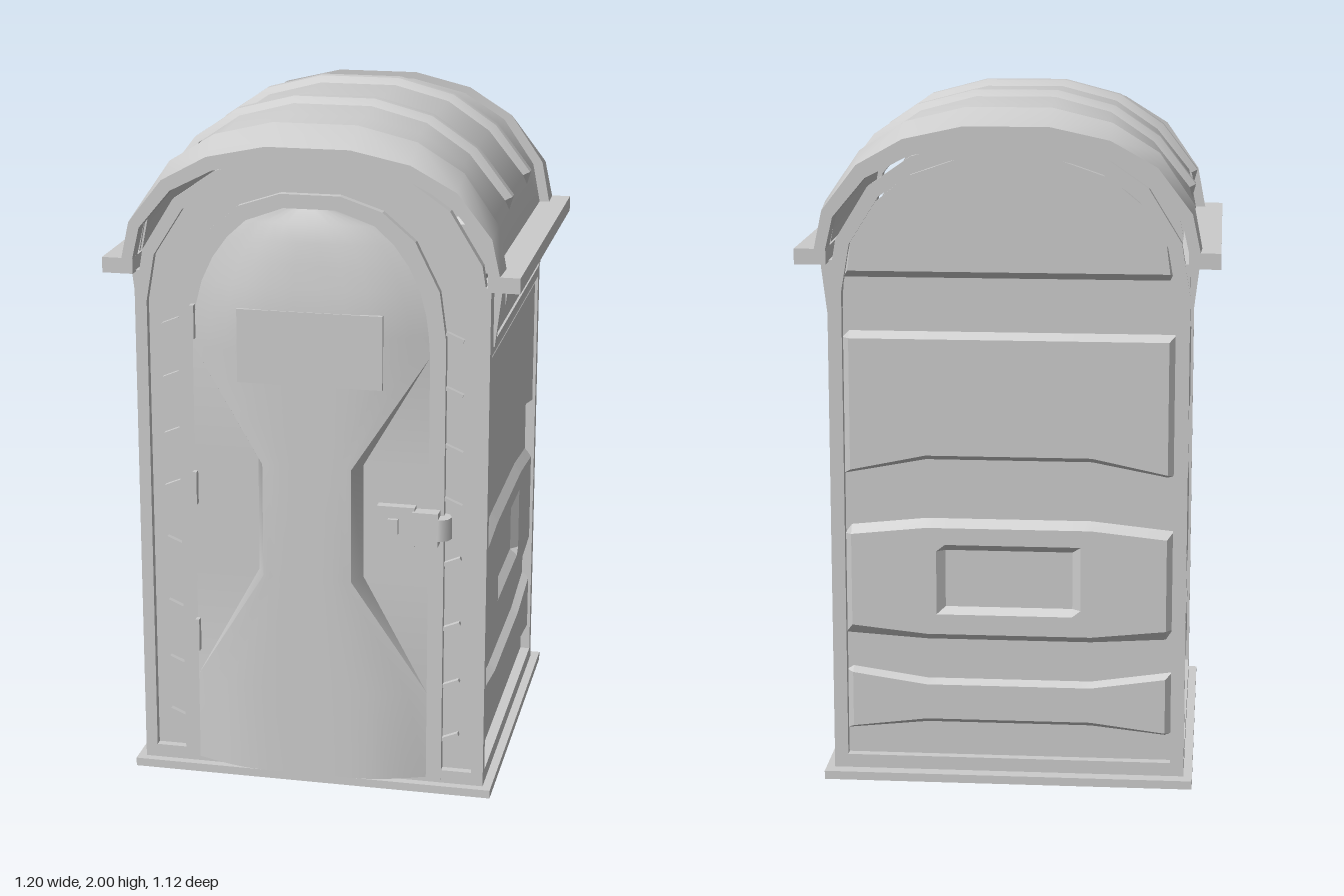
import * as THREE from 'three';
import { toCreasedNormals } from 'three/addons/utils/BufferGeometryUtils.js';

const mat = new THREE.MeshStandardMaterial({ color: 0xcccccc, side: THREE.DoubleSide });

// Half of the unit arch, from spring line to crown
const HALF = [[1, 0], [0.95, 0.35], [0.77, 0.7], [0.53, 0.9], [0.22, 1]];
const ARCH = [...HALF, ...HALF.map(([x, y]) => [-x, y]).reverse()];
const arch = (hw, top, spring) => ARCH.map(([x, y]) => [x * hw, spring + y * (top - spring)]);

// Half width of an arched opening at height y
function archWidth(y, hw, top, spring) {
  const t = (y - spring) / (top - spring);
  if (t <= 0) return hw;
  for (let i = 1; i < HALF.length; i++) {
    const [x0, y0] = HALF[i - 1], [x1, y1] = HALF[i];
    if (t <= y1) return hw * THREE.MathUtils.mapLinear(t, y0, y1, x0, x1);
  }
  return hw * 0.22;
}

const toShape = (pts, C = THREE.Shape) => new C(pts.map(([x, y]) => new THREE.Vector2(x, y)));
const rect = (x0, x1, y0, y1) => [[x0, y0], [x1, y0], [x1, y1], [x0, y1]];
const door = (hw, top, spring, bottom) => [[-hw, bottom], [hw, bottom], ...arch(hw, top, spring)];

function mesh(name, geo, parent) {
  const m = new THREE.Mesh(geo, mat);
  m.name = name;
  parent.add(m);
  return m;
}

function plate(outline, holes, depth) {
  const s = toShape(outline);
  holes.forEach(h => s.holes.push(toShape(h, THREE.Path)));
  return new THREE.ExtrudeGeometry(s, { depth, bevelEnabled: false });
}

function box(name, parent, w, h, d, x, y, z) {
  const m = mesh(name, new THREE.BoxGeometry(w, h, d), parent);
  m.position.set(x, y, z);
  return m;
}

// Surface through rows of points
function loft(rows, crease = 0.5) {
  const n = rows[0].length, idx = [];
  for (let r = 0; r < rows.length - 1; r++)
    for (let c = 0; c < n - 1; c++) {
      const a = r * n + c;
      idx.push(a, a + 1, a + n, a + 1, a + n + 1, a + n);
    }
  const g = new THREE.BufferGeometry();
  g.setAttribute('position', new THREE.Float32BufferAttribute(rows.flat(2), 3));
  g.setIndex(idx);
  return toCreasedNormals(g, crease);
}

// Arched shell through sections [z, halfWidth, top]
const archLoft = sections => loft(sections.map(([z, hw, top]) =>
  arch(hw, top, 1.56).map(([x, y]) => [x, y, z])));

// Wall bands: [y at edge, y at middle, raised]
const BANDS = [[0.065, 0.065, 0], [0.14, 0.165, 0], [0.15, 0.18, 1], [0.32, 0.285, 1], [0.335, 0.3, 0],
  [0.435, 0.42, 0], [0.465, 0.44, 1], [0.5, 0.5, 1], [0.52, 0.52, 1], [0.69, 0.69, 1], [0.71, 0.71, 1],
  [0.735, 0.76, 1], [0.76, 0.785, 0], [0.915, 0.96, 0], [0.925, 0.975, 1], [1.315, 1.315, 1], [1.335, 1.335, 0]];
const GABLE = [[1.49, 1.49, 0], [1.51, 1.51, 1], [1.6, 1.6, 1], [1.7, 1.7, 1], [1.78, 1.78, 1], [1.84, 1.84, 1]];

// Banded panel with a recessed box; place(u, y, d) maps it onto a wall
function bandedPanel(bands, hw, widthAt, place) {
  const half = [0.185, 0.21, 0.24, hw - 0.02, hw];
  const cols = [...half.map(u => -u).reverse(), ...half];
  return loft(bands.map(([edge, mid, d]) => cols.map(u => {
    const a = Math.abs(u), w = widthAt(edge);
    const y = THREE.MathUtils.lerp(mid, edge, Math.max(0, (a - 0.24) / (hw - 0.24)));
    const inBox = a < 0.2 && mid > 0.51 && mid < 0.7;
    return place(THREE.MathUtils.clamp(u, -w, w), y, inBox || a === hw ? 0 : d);
  })), 0.2);
}

function sideWall() {
  const g = new THREE.Group();
  const frame = plate(rect(-0.5, 0.5, 0.025, 1.54), [rect(-0.478, 0.485, 0.065, 1.335)], 0.03);
  mesh('sideFrame', frame.rotateY(Math.PI / 2).translate(0.485, 0, 0), g);
  mesh('sidePanel', bandedPanel(BANDS, 0.485, () => 0.485, (u, y, d) => [0.485 + 0.022 * d, y, u]), g);

  // Vent strip leaning outward at its top
  const vent = new THREE.Group();
  vent.name = 'sideVent';
  mesh('ventFrame', plate(rect(-0.445, 0.465, 0, 0.17), [rect(-0.425, 0.448, 0.022, 0.148)], 0.025), vent);
  const windows = [0, 1, 2, 3].map(i => rect(-0.39 + i * 0.213, -0.225 + i * 0.213, 0.045, 0.125));
  mesh('ventGrille', plate(rect(-0.425, 0.448, 0.022, 0.148), windows, 0.014), vent);
  box('ventBacking', vent, 0.89, 0.15, 0.004, 0.01, 0.085, -0.002);
  vent.rotation.set(0.12, Math.PI / 2, 0, 'YXZ');
  vent.position.set(0.494, 1.36, 0);
  g.add(vent);

  // Roof eave
  box('eave', g, 0.09, 0.045, 1.085, 0.555, 1.5575, -0.0125);
  return g;
}

// Bulged door skin with hourglass cut-outs at both sides
function doorSkin() {
  const ys = [0.04, 0.31, 0.66, 1, 1.33, 1.39, 1.45, 1.52, 1.59, 1.65, 1.7, 1.74];
  return loft(ys.map(y => {
    const w = archWidth(y, 0.345, 1.74, 1.36);
    const pinch = y < 0.31 || y > 1.33 ? 0 : Math.min(1, (y - 0.31) / 0.35, (1.33 - y) / 0.33);
    const inner = w - (w - 0.13) * pinch, outer = w - (w - 0.155) * pinch;
    const height = 0.055 * (y < 1.45 ? 1 : Math.sqrt(Math.max(0, (1.74 - y) / 0.29)));
    const bulge = x => 0.502 + height * Math.sin(Math.PI / 2 * Math.min(1, Math.max(0, (w - x) / 0.22)));
    const half = [[w, 0.502], [outer, 0.502], ...[1, 0.85, 0.7, 0.55, 0.35, 0.12].map(f => [inner * f, bulge(inner * f)])];
    return [...half.map(([x, z]) => [-x, y, z]), ...half.reverse().map(([x, z]) => [x, y, z])];
  }), 0.5);
}

// Raised rib over the roof with pointed ends
function roofRib(z) {
  const section = (x, y, k, w) => [[-w, 0], [-w * 0.4, k], [w * 0.4, k], [w, 0]]
    .map(([dz, s]) => [x * (1 + s), 1.56 + (y - 1.56) * (1 + s), z + dz]);
  const pts = arch(0.52, 1.982, 1.56).slice(1, -1);
  return loft([section(0.512, 1.69, 0, 0.002), section(0.505, 1.725, 0.035, 0.04),
    ...pts.slice(1, -1).map(([x, y]) => section(x, y, 0.042, 0.04)),
    section(-0.505, 1.725, 0.035, 0.04), section(-0.512, 1.69, 0, 0.002)], 0.6);
}

export function createModel() {
  const root = new THREE.Group();
  root.name = 'portableCabin';

  // Open base frame
  const base = plate(rect(-0.54, 0.54, -0.525, 0.545), [rect(-0.485, 0.485, -0.46, 0.47)], 0.025);
  mesh('baseFrame', base.rotateX(-Math.PI / 2), root);

  // Side walls
  for (const s of [1, -1]) {
    const wall = sideWall();
    wall.name = s > 0 ? 'leftWall' : 'rightWall';
    wall.scale.x = s;
    root.add(wall);
  }

  // Back wall
  const back = plate(door(0.515, 1.88, 1.45, 0.025), [door(0.475, 1.84, 1.45, 0.065)], 0.03);
  mesh('backFrame', back.translate(0, 0, -0.505), root);
  mesh('backPanel', bandedPanel([...BANDS, ...GABLE], 0.478, y => archWidth(y, 0.478, 1.842, 1.45),
    (u, y, d) => [u, y, -0.478 - 0.02 * d]), root);

  // Front frame, recessed jamb and door
  const front = plate(door(0.515, 1.88, 1.45, 0.025), [door(0.48, 1.84, 1.45, 0.065)], 0.03);
  mesh('frontFrame', front.translate(0, 0, 0.47), root);
  const jamb = plate(door(0.482, 1.842, 1.45, 0.04), [door(0.385, 1.775, 1.38, 0.06)], 0.015);
  mesh('jamb', jamb.translate(0, 0, 0.462), root);
  mesh('doorSlab', plate(door(0.39, 1.78, 1.38, 0.035), [], 0.03).translate(0, 0, 0.471), root);
  mesh('doorSkin', doorSkin(), root);
  box('doorPanel', root, 0.42, 0.215, 0.012, 0.01, 1.35, 0.554);

  // Jamb ridges and hinges
  for (const s of [1, -1])
    for (const y of [0.17, 0.34, 0.52, 0.72, 0.9, 1.06, 1.23, 1.39])
      box('jambRidge', root, 0.055, 0.01, 0.018, s * 0.413, y, 0.484).rotation.z = (y > 0.8 ? -1 : 1) * s * 0.4;
  for (const y of [0.44, 0.9, 1.4]) box('hinge', root, 0.012, 0.1, 0.025, -0.342, y, 0.51);

  // Latch
  const latch = new THREE.Group();
  latch.name = 'latch';
  box('latchPlate', latch, 0.11, 0.12, 0.03, 0.255, 0.83, 0.515);
  box('latchButton', latch, 0.03, 0.045, 0.02, 0.248, 0.832, 0.532);
  box('latchBody', latch, 0.075, 0.1, 0.042, 0.342, 0.83, 0.52);
  const knob = mesh('latchKnob', new THREE.CylinderGeometry(0.035, 0.035, 0.065, 8, 1), latch);
  knob.position.set(0.38, 0.83, 0.508);
  root.add(latch);

  // Roof shell, ribs and end rims
  mesh('roofShell', archLoft([[0.44, 0.52, 1.95], [0.3, 0.52, 1.968], [0.16, 0.52, 1.982],
    [-0.19, 0.52, 1.982], [-0.33, 0.52, 1.968], [-0.47, 0.52, 1.95]]), root);
  for (const z of [0.165, -0.195]) mesh('roofRib', roofRib(z), root);
  mesh('frontRim', archLoft([[0.43, 0.515, 1.93], [0.43, 0.55, 1.968], [0.53, 0.547, 1.917],
    [0.53, 0.515, 1.875], [0.48, 0.515, 1.875]]), root);
  mesh('backRim', archLoft([[-0.46, 0.515, 1.93], [-0.46, 0.55, 1.972], [-0.555, 0.547, 1.927],
    [-0.555, 0.515, 1.875], [-0.48, 0.515, 1.875]]), root);
  return root;
}
